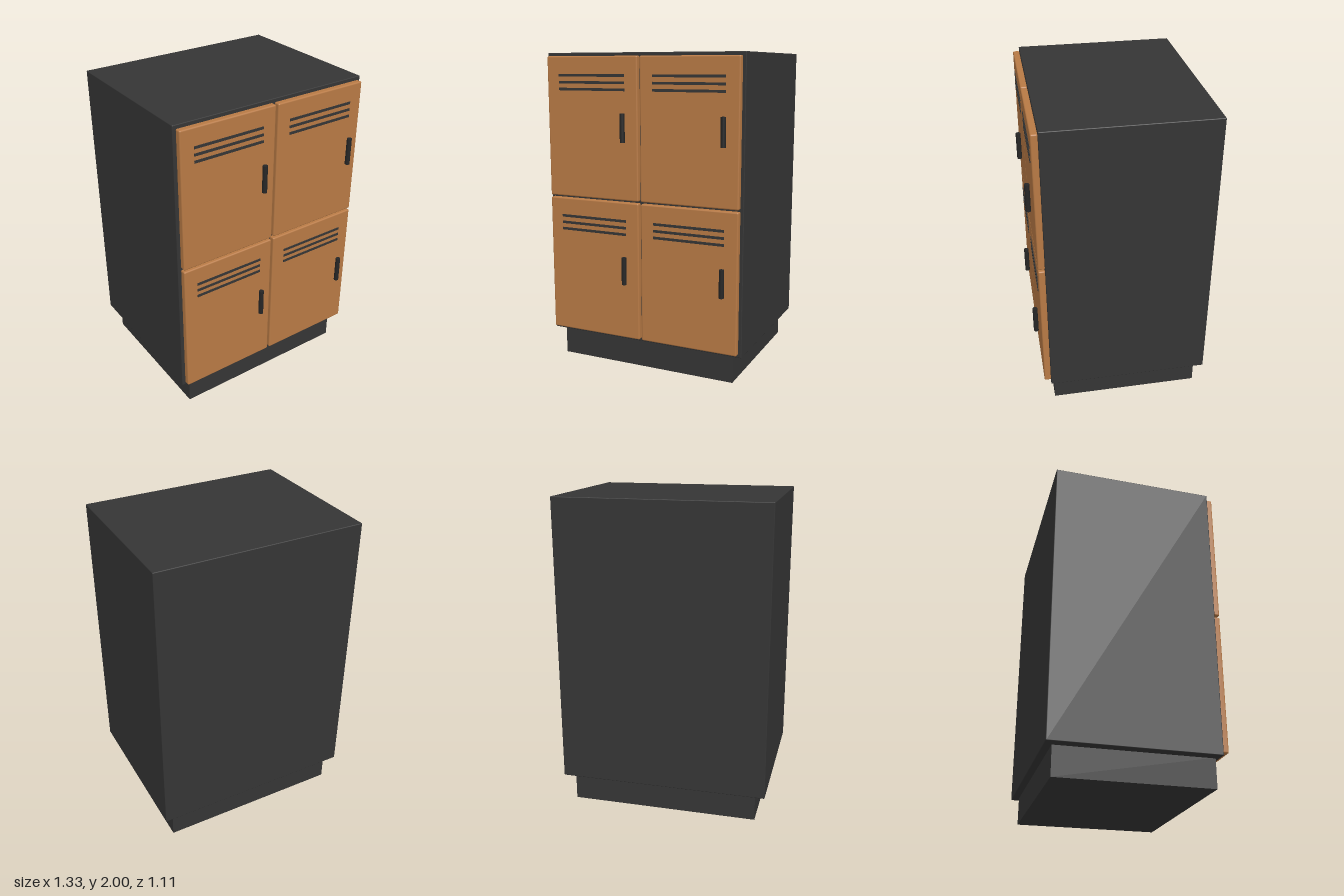
import * as THREE from 'three';
import { RoundedBoxGeometry } from 'three/addons/geometries/RoundedBoxGeometry.js';

function material(name, color) {
  const m = new THREE.MeshStandardMaterial({ color });
  m.name = name;
  return m;
}

export function createModel() {
  const model = new THREE.Group();
  model.name = 'lockerCabinet';
  const charcoal = material('charcoal', 0x353535);
  const wood = material('warm wood', 0xb87a45);
  const black = material('handle black', 0x262626);

  function add(parent, name, geometry, mat, x, y, z) {
    const mesh = new THREE.Mesh(geometry, mat);
    mesh.name = name;
    mesh.position.set(x, y, z);
    parent.add(mesh);
    return mesh;
  }

  // Cabinet body and recessed plinth
  add(model, 'cabinetBody', new RoundedBoxGeometry(1.33, 1.82, 1.025, 2, 0.005), charcoal, 0, 1.09, -0.0425);
  add(model, 'plinth', new THREE.BoxGeometry(1.2, 0.185, 0.955), charcoal, 0, 0.0925, -0.0325);

  // Four doors, each with three vent slots and an upright handle
  const doorGeometry = new RoundedBoxGeometry(0.638, 0.882, 0.042, 3, 0.009);
  const ventGeometry = new THREE.BoxGeometry(0.465, 0.016, 0.008);
  const handleGeometry = new THREE.CylinderGeometry(0.0155, 0.0155, 0.175, 16);
  for (const y of [0.643, 1.538]) {
    for (const x of [-0.327, 0.327]) {
      const door = new THREE.Group();
      door.name = 'door';
      door.position.set(x, y, 0);
      model.add(door);
      add(door, 'doorPanel', doorGeometry, wood, 0, 0, 0.49);
      for (const dy of [0.239, 0.281, 0.324]) {
        add(door, 'ventSlot', ventGeometry, charcoal, 0, dy, 0.511);
      }
      add(door, 'handle', handleGeometry, black, 0.23, 0.01, 0.5395);
    }
  }
  return model;
}
